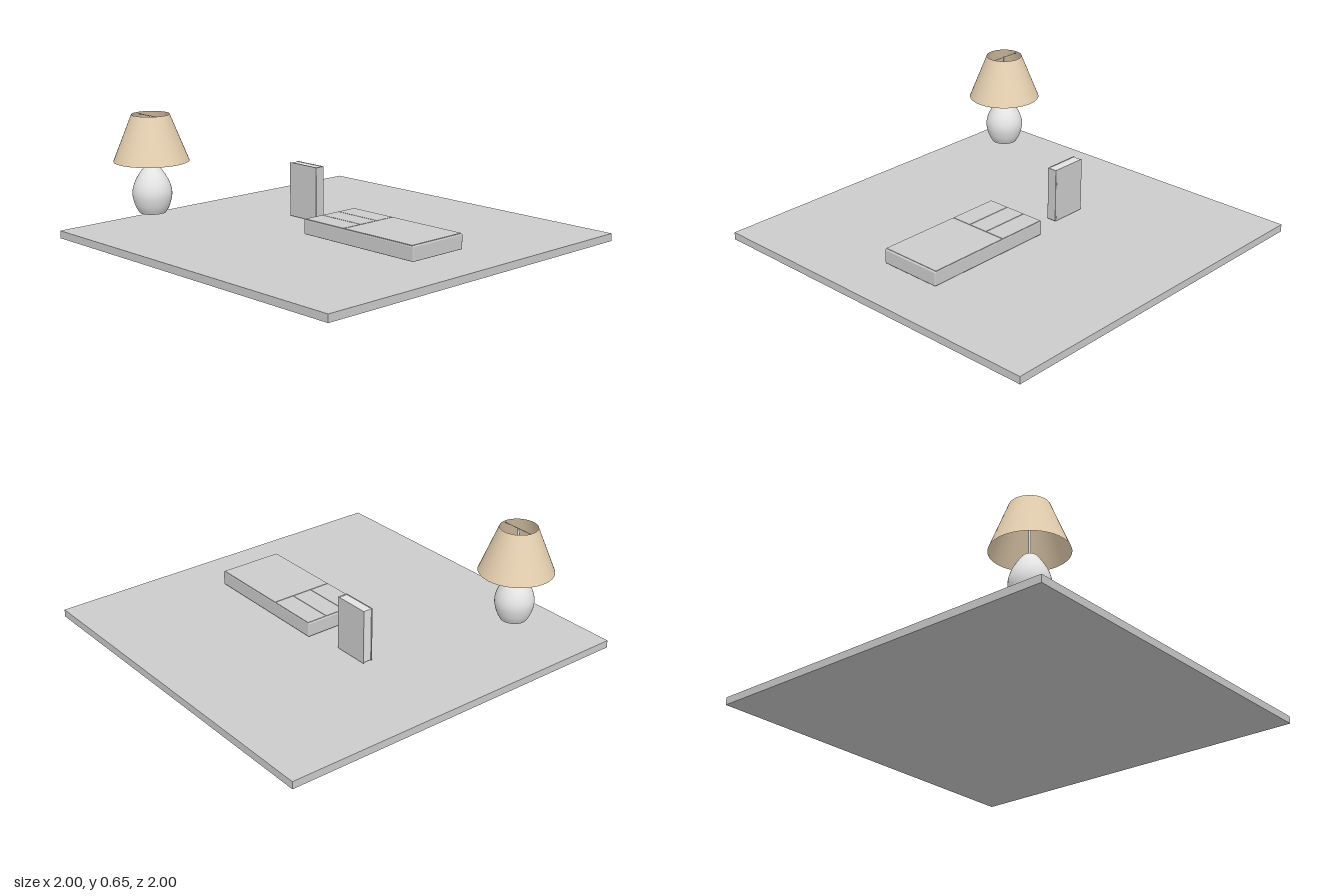
import * as THREE from 'three';
import { RoundedBoxGeometry } from 'three/addons/geometries/RoundedBoxGeometry.js';

const mat = (name, color) => {
  const m = new THREE.MeshStandardMaterial({ color });
  m.name = name;
  return m;
};

export function createModel() {
  const grey = mat('grey', 0xcccccc);
  const pageGrey = mat('pale grey', 0xe2e2e2);
  const ceramic = mat('ceramic white', 0xe6e6e6);
  const linen = mat('linen', 0xe6d0b0);
  linen.side = THREE.DoubleSide;

  const model = new THREE.Group();
  const add = (parent, name, geometry, material, x = 0, y = 0, z = 0) => {
    const mesh = new THREE.Mesh(geometry, material);
    mesh.name = name;
    mesh.position.set(x, y, z);
    parent.add(mesh);
    return mesh;
  };
  const group = (name, x = 0, y = 0, z = 0) => {
    const g = new THREE.Group();
    g.name = name;
    g.position.set(x, y, z);
    model.add(g);
    return g;
  };
  // Box given by its limits on each axis
  const span = (parent, name, material, [x0, x1], [y0, y1], [z0, z1]) =>
    add(parent, name, new THREE.BoxGeometry(x1 - x0, y1 - y0, z1 - z0), material,
      (x0 + x1) / 2, (y0 + y1) / 2, (z0 + z1) / 2);

  // Flat square top
  span(model, 'tableTop', grey, [-1, 1], [0, 0.04], [-1, 1]);

  // Table lamp
  const lamp = group('lamp', -0.66, 0, 0.66);
  const bodyCurve = new THREE.SplineCurve([
    [0.068, 0.142], [0.088, 0.18], [0.101, 0.235], [0.094, 0.285], [0.07, 0.335], [0.036, 0.383],
  ].map(([r, y]) => new THREE.Vector2(r, y)));
  add(lamp, 'lampBody', new THREE.LatheGeometry(bodyCurve.getPoints(24), 40), ceramic);
  add(lamp, 'lampBodyTop', new THREE.CircleGeometry(0.036, 40).rotateX(-Math.PI / 2), ceramic, 0, 0.383, 0);
  add(lamp, 'lampBodyBottom', new THREE.CircleGeometry(0.068, 40).rotateX(Math.PI / 2), ceramic, 0, 0.142, 0);
  add(lamp, 'lampRod', new THREE.CylinderGeometry(0.006, 0.006, 0.26, 12), ceramic, 0, 0.512, 0);
  add(lamp, 'shadeBar', new THREE.CylinderGeometry(0.002, 0.002, 0.192, 8).rotateZ(Math.PI / 2), ceramic, 0, 0.64, 0);
  add(lamp, 'lampShade', new THREE.CylinderGeometry(0.097, 0.193, 0.24, 48, 1, true), linen, 0, 0.53, 0);

  // Standing book: two covers, a spine and a page block
  const book = group('standingBook');
  const bookY = [0.045, 0.335];
  for (const [name, z0] of [['backCover', -0.125], ['frontCover', -0.075]]) {
    span(book, name, grey, [-0.418, -0.223], bookY, [z0, z0 + 0.005]);
  }
  span(book, 'pages', pageGrey, [-0.414, -0.223], [0.047, 0.333], [-0.12, -0.075]);
  add(book, 'spine', new RoundedBoxGeometry(0.01, 0.29, 0.055, 2, 0.003), grey, -0.22, 0.19, -0.0975);

  // Low slab with thin panels on its top
  const slab = group('lowUnit');
  add(slab, 'unitBody', new RoundedBoxGeometry(0.757, 0.078, 0.352, 2, 0.006), grey, 0.331, 0.089, -0.004);
  const panelY = [0.127, 0.131];
  span(slab, 'largePanel', grey, [0.242, 0.7], panelY, [-0.177, 0.169]);
  for (const [z0, z1] of [[-0.177, -0.064], [-0.06, 0.05], [0.054, 0.169]]) {
    span(slab, 'smallPanel', grey, [-0.04, 0.237], panelY, [z0, z1]);
  }
  return model;
}
